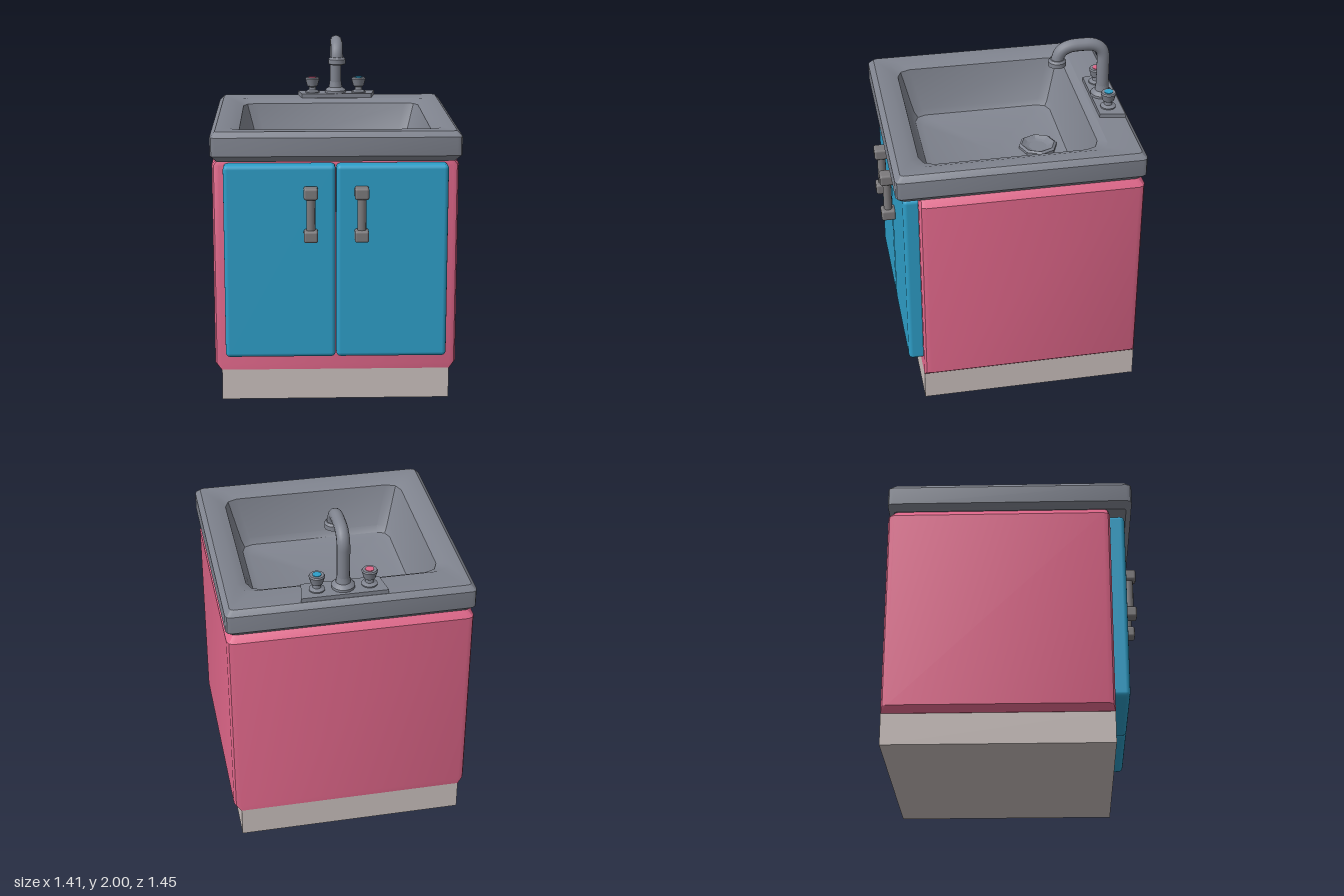
import * as THREE from 'three';
import { toCreasedNormals } from 'three/addons/utils/BufferGeometryUtils.js';
import { RoundedBoxGeometry } from 'three/addons/geometries/RoundedBoxGeometry.js';

const material = (name, color) => {
  const m = new THREE.MeshStandardMaterial({ color });
  m.name = name;
  return m;
};

// Skin through rings of rounded rectangles: [y, halfWidth, zBack, zFront, corner]
function loft(rings) {
  const pos = [], idx = [], n = 12;
  for (const [y, w, z0, z1, c] of rings) {
    const corners = [[w - c, z1 - c], [-w + c, z1 - c], [-w + c, z0 + c], [w - c, z0 + c]];
    corners.forEach(([x, z], q) => {
      for (let k = 0; k < 3; k++) {
        const a = (q + k / 2) * Math.PI / 2;
        pos.push(x + c * Math.cos(a), y, z + c * Math.sin(a));
      }
    });
  }
  for (let r = 0; r < rings.length - 1; r++) {
    for (let i = 0; i < n; i++) {
      const a = r * n + i, b = r * n + (i + 1) % n;
      idx.push(a, a + n, b, b, a + n, b + n);
    }
  }
  const g = new THREE.BufferGeometry();
  g.setAttribute('position', new THREE.Float32BufferAttribute(pos, 3));
  g.setIndex(idx);
  return toCreasedNormals(g, 0.5);
}

// Turned part from [radius, y] points
function turned(points, sides) {
  const g = new THREE.LatheGeometry(points.map(p => new THREE.Vector2(...p)), sides);
  return toCreasedNormals(g, sides < 12 ? 0.3 : 0.6);
}

export function createModel() {
  const model = new THREE.Group();
  model.name = 'sinkCabinet';
  const pink = material('pink', 0xe0678a);
  const blue = material('blue', 0x2e9fc9);
  const steel = material('steelGrey', 0x80848f);
  const handleGrey = material('handleGrey', 0x7c7a7c);
  const stone = material('paleStone', 0xcbc1be);

  const add = (name, geometry, mat, x = 0, y = 0, z = 0, parent = model) => {
    const mesh = new THREE.Mesh(geometry, mat);
    mesh.name = name;
    mesh.position.set(x, y, z);
    parent.add(mesh);
    return mesh;
  };

  // Plinth and cabinet
  add('plinth', new THREE.BoxGeometry(1.32, 0.18, 1.28), stone, 0, 0.09, -0.08);
  add('cabinet', loft([
    [0.18, 0.64, -0.70, 0.54, 0.001],
    [0.18, 0.662, -0.72, 0.56, 0.002],
    [0.215, 0.70, -0.72, 0.56, 0.038],
    [1.39, 0.70, -0.72, 0.56, 0.038],
    [1.435, 0.66, -0.68, 0.55, 0.02],
  ]), pink);

  // Worktop and basin as one skin
  add('worktopAndBasin', loft([
    [1.43, 0.62, -0.65, 0.50, 0.03],
    [1.43, 0.67, -0.69, 0.655, 0.02],
    [1.465, 0.704, -0.725, 0.688, 0.03],
    [1.57, 0.704, -0.725, 0.688, 0.03],
    [1.60, 0.675, -0.697, 0.657, 0.02],
    [1.60, 0.60, -0.53, 0.585, 0.07],
    [1.575, 0.545, -0.487, 0.53, 0.08],
    [1.33, 0.48, -0.42, 0.465, 0.08],
    [1.295, 0.46, -0.40, 0.44, 0.07],
    [1.28, 0.42, -0.36, 0.40, 0.06],
    [1.28, 0, 0.02, 0.02, 0],
  ]), steel);

  // Drain
  add('drain', turned([[0.115, 1.27], [0.115, 1.295], [0.1, 1.305], [0.075, 1.29], [0.055, 1.284], [0, 1.284]], 8),
    steel, 0, 0, -0.245);

  // Doors and handles
  for (const s of [-1, 1]) {
    const side = s > 0 ? 'left' : 'right';
    add(side + 'Door', new RoundedBoxGeometry(0.632, 1.125, 0.105, 2, 0.025), blue, s * 0.318, 0.8425, 0.5925);
    const handle = new THREE.Group();
    handle.name = side + 'Handle';
    handle.position.set(s * 0.143, 1.135, 0.683);
    model.add(handle);
    for (const y of [-0.125, 0.12]) {
      add('handleMount', new RoundedBoxGeometry(0.08, 0.068, 0.084, 2, 0.014), handleGrey, 0, y, 0, handle);
    }
    add('handleBar', new THREE.CylinderGeometry(0.025, 0.025, 0.22, 12), handleGrey, 0, 0, 0, handle);
  }

  // Tap plate, wider at the back
  const plate = new THREE.Shape([[-0.245, 0.695], [-0.22, 0.55], [0.22, 0.55], [0.245, 0.695]]
    .map(p => new THREE.Vector2(...p)));
  const plateGeometry = new THREE.ExtrudeGeometry(plate, { depth: 0.03, bevelEnabled: false });
  plateGeometry.rotateX(-Math.PI / 2);
  add('tapPlate', plateGeometry, steel, 0.04, 1.595, 0);

  // Tap spout
  const tapX = 0.035, tapZ = -0.615;
  add('spoutBase', turned([[0.066, 1.62], [0.066, 1.64], [0.055, 1.652], [0.042, 1.66], [0.036, 1.70]], 16),
    steel, tapX, 0, tapZ);
  const path = new THREE.CurvePath();
  const v = (z, y) => new THREE.Vector3(tapX, y, z);
  path.add(new THREE.LineCurve3(v(tapZ, 1.63), v(tapZ, 1.87)));
  path.add(new THREE.CubicBezierCurve3(v(tapZ, 1.87), v(tapZ, 1.93), v(-0.575, 1.963), v(-0.51, 1.963)));
  path.add(new THREE.LineCurve3(v(-0.51, 1.963), v(-0.46, 1.963)));
  path.add(new THREE.CubicBezierCurve3(v(-0.46, 1.963), v(-0.38, 1.963), v(-0.342, 1.93), v(-0.342, 1.86)));
  add('spoutPipe', new THREE.TubeGeometry(path, 40, 0.037, 14), steel);
  add('spoutNozzle', turned([[0, 1.85], [0.035, 1.85], [0.04, 1.838], [0.053, 1.845], [0.053, 1.872], [0.043, 1.885], [0, 1.885]], 16),
    steel, tapX, 0, -0.342);

  // Hot and cold knobs with coloured caps
  const knob = turned([[0.045, 1.62], [0.045, 1.632], [0.024, 1.642], [0.022, 1.66], [0.033, 1.668],
    [0.045, 1.712], [0.04, 1.72], [0, 1.72]], 16);
  const cap = new THREE.CylinderGeometry(0.025, 0.025, 0.006, 16);
  for (const [name, x, mat] of [['hot', -0.112, pink], ['cold', 0.182, blue]]) {
    add(name + 'Knob', knob, steel, x, 0, -0.617);
    add(name + 'KnobCap', cap, mat, x, 1.721, -0.617);
  }
  return model;
}
